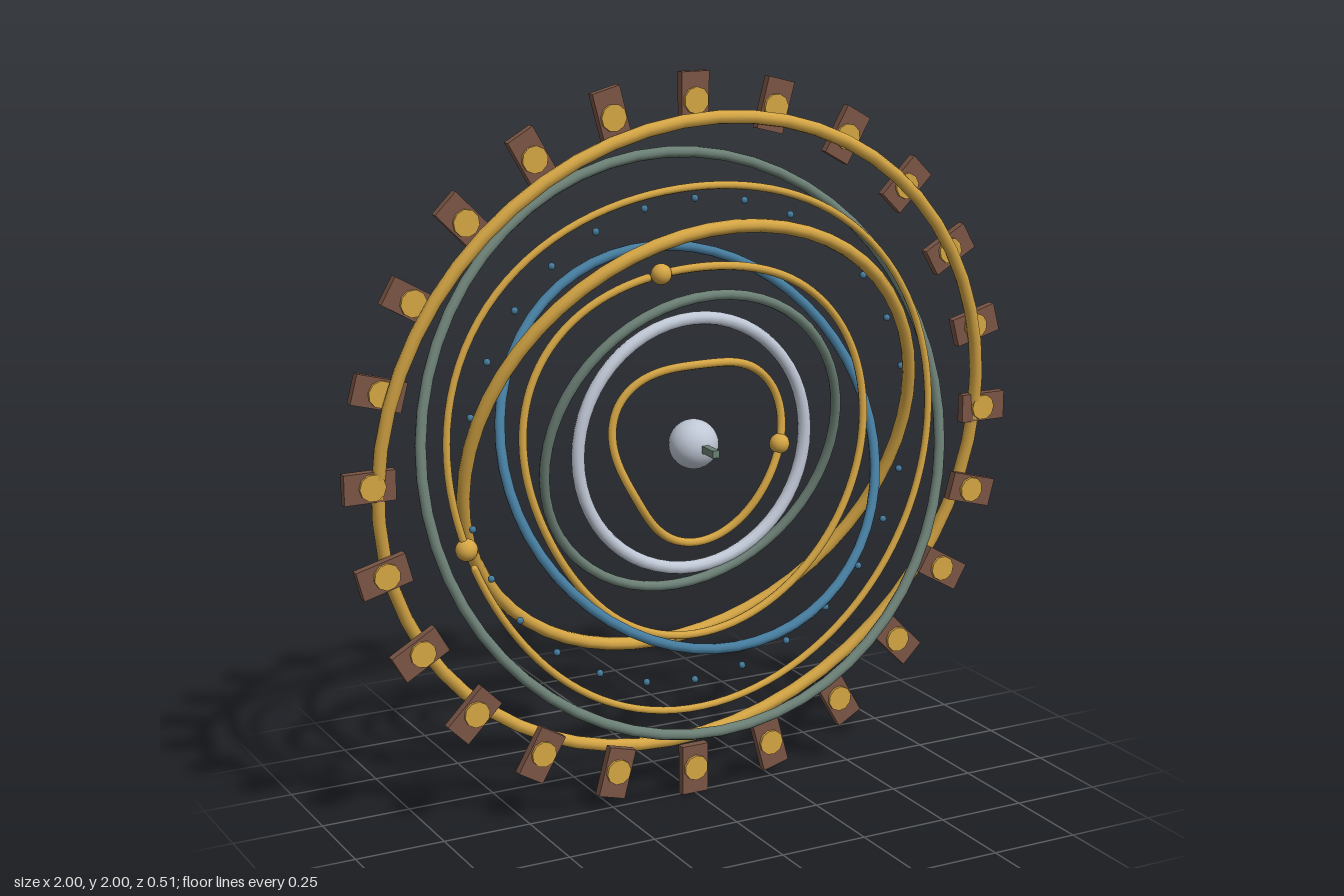
import * as THREE from 'three';

const material = (name, color) => {
  const m = new THREE.MeshStandardMaterial({ color });
  m.name = name;
  return m;
};

// Wavy loop around the centre: three lobes in radius and in depth
class WavyLoop extends THREE.Curve {
  constructor(radius, start, gap) {
    super();
    Object.assign(this, { radius, start, gap });
  }
  getPoint(t, target = new THREE.Vector3()) {
    const a = this.start + this.gap + t * (Math.PI * 2 - this.gap);
    const wave = Math.sin(3 * a);
    const r = this.radius + 0.02 * wave;
    return target.set(r * Math.cos(a), r * Math.sin(a), 0.035 - 0.016 * wave);
  }
}

export function createModel() {
  const gold = material('gold', 0xd4a544);
  const green = material('greyGreen', 0x6b7f75);
  const blue = material('blue', 0x457b9d);
  const silver = material('silver', 0xc0c8d6);
  const brown = material('brown', 0x795545);

  const model = new THREE.Group();
  const wheel = new THREE.Group();
  wheel.name = 'wheel';
  wheel.position.y = 1;
  model.add(wheel);

  const add = (name, geometry, mat, parent = wheel) => {
    const mesh = new THREE.Mesh(geometry, mat);
    mesh.name = name;
    parent.add(mesh);
    return mesh;
  };

  // Nested rings, each tilted about the x axis: radius, tube, tilt, colour
  [
    ['outerRing', 0.905, 0.018, 0.15, gold],
    ['secondRing', 0.785, 0.015, -0.2, green],
    ['thirdRing', 0.667, 0.018, 0.35, gold],
    ['fourthRing', 0.557, 0.014, -0.45, blue],
    ['fifthRing', 0.44, 0.014, 0.25, green],
    ['innerRing', 0.345, 0.018, 0, silver],
  ].forEach(([name, radius, tube, tilt, mat]) => {
    add(name, new THREE.TorusGeometry(radius, tube, 10, 56), mat).rotation.x = tilt;
  });

  // Hub ball and its axle
  add('hubBall', new THREE.SphereGeometry(0.068, 24, 16), silver);
  add('axle', new THREE.BoxGeometry(0.02, 0.02, 0.24), green).position.z = 0.008;

  // Rim blocks, each with a gold disc on the front
  const blockGeometry = new THREE.BoxGeometry(0.08, 0.14, 0.024);
  const discGeometry = new THREE.CylinderGeometry(0.036, 0.036, 0.008, 10).rotateX(Math.PI / 2);
  for (let i = 0; i < 24; i++) {
    const spoke = new THREE.Group();
    spoke.name = 'rimBlock';
    spoke.rotation.z = (i * Math.PI) / 12;
    add('block', blockGeometry, brown, spoke).position.y = 0.93;
    add('disc', discGeometry, gold, spoke).position.set(0, 0.925, 0.016);
    wheel.add(spoke);
  }

  // Circle of small beads
  const beadGeometry = new THREE.SphereGeometry(0.01, 8, 6);
  for (let i = 0; i < 28; i++) {
    const a = (i * Math.PI) / 14;
    add('bead', beadGeometry, blue).position.set(0.668 * Math.sin(a), 0.668 * Math.cos(a), 0.008);
  }

  // Wavy loops with a ball at the open end: radius, start angle, tube, ball radius
  [
    ['innerLoop', 0.25, -0.08, 0.012, 0.028],
    ['middleLoop', 0.512, 1.815, 0.0115, 0.028],
    ['outerLoop', 0.726, 3.41, 0.0105, 0.03],
  ].forEach(([name, radius, start, tube, ball]) => {
    const path = new WavyLoop(radius, start, 0.08);
    add(name, new THREE.TubeGeometry(path, 110, tube, 8, false), gold);
    add(name + 'Ball', new THREE.SphereGeometry(ball, 16, 12), gold).position.copy(path.getPoint(1));
    // Rounded tail tip
    add(name + 'Tip', new THREE.SphereGeometry(tube, 8, 6), gold).position.copy(path.getPoint(0));
  });

  return model;
}
